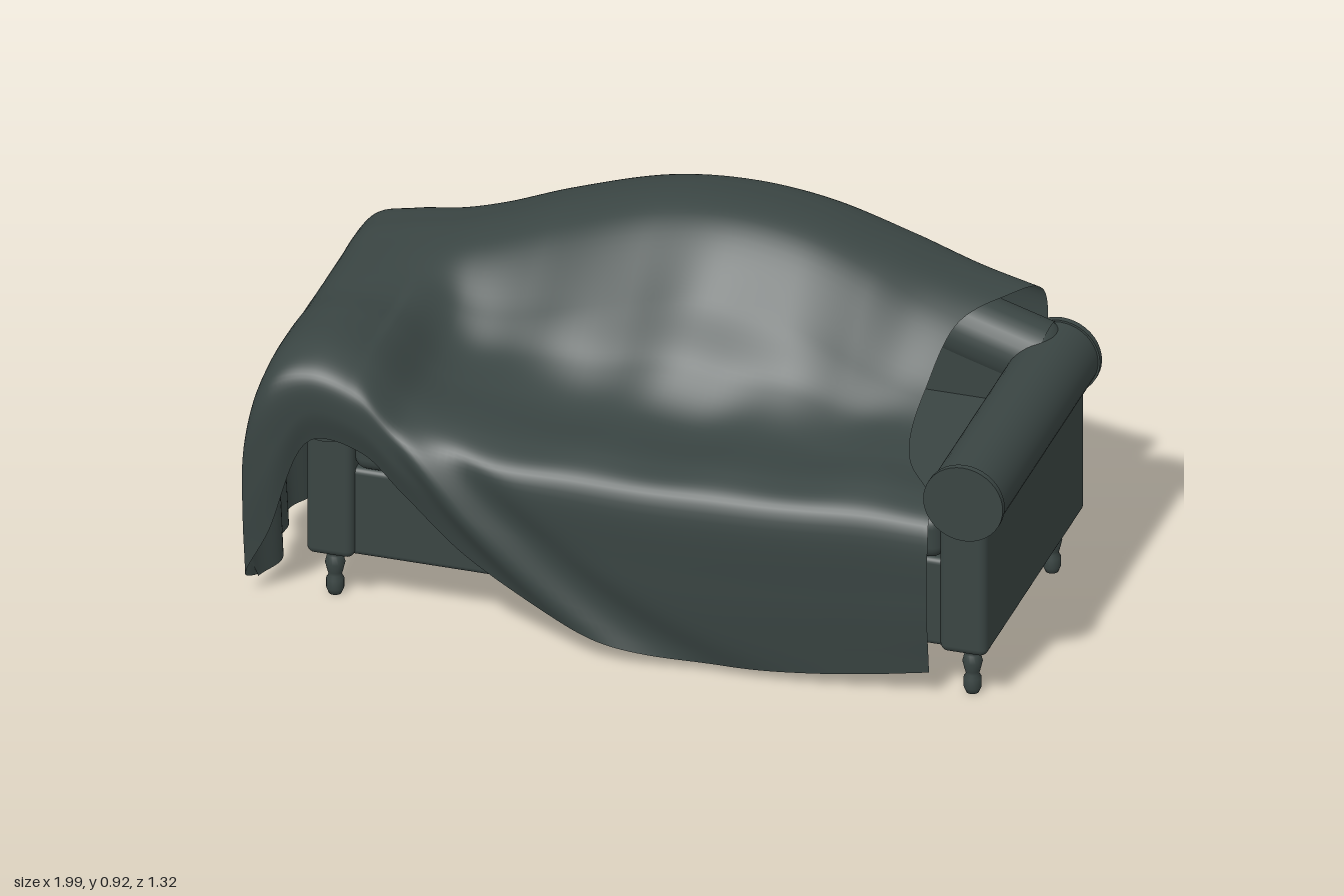
import * as THREE from 'three';
import { RoundedBoxGeometry } from 'three/addons/geometries/RoundedBoxGeometry.js';

const fabric = new THREE.MeshStandardMaterial({ color: 0x3a4543, side: THREE.DoubleSide });
fabric.name = 'dark grey green';
const MID = 0.08; // the sofa sits a little to one side of the cloth

function add(parent, name, geometry, x = 0, y = 0, z = 0) {
  const mesh = new THREE.Mesh(geometry, fabric);
  mesh.name = name;
  mesh.position.set(x, y, z);
  parent.add(mesh);
  return mesh;
}

const mix = THREE.MathUtils.lerp;
const bump = (d, w) => Math.exp(-(d * d) / (w * w));
const box = (w, h, d, r = 0.015) => new RoundedBoxGeometry(w, h, d, 3, r);

// Sofa with rolled arms, humped back and turned legs
function makeSofa() {
  const sofa = new THREE.Group();
  sofa.name = 'sofa';
  sofa.position.x = MID;
  add(sofa, 'seatBase', box(1.56, 0.24, 0.74), 0, 0.255, 0.155);
  add(sofa, 'seatCushion', box(1.5, 0.12, 0.68, 0.035), 0, 0.435, 0.2);

  const legProfile = [[0, 0], [0.016, 0], [0.022, 0.015], [0.022, 0.04], [0.016, 0.05], [0.019, 0.06],
    [0.025, 0.085], [0.02, 0.105], [0.015, 0.11], [0.026, 0.12], [0.026, 0.145]]
    .map(([r, y]) => new THREE.Vector2(r, y));
  const legGeometry = new THREE.LatheGeometry(legProfile, 20);

  for (const side of [-1, 1]) {
    add(sofa, 'armPanel', box(0.12, 0.36, 0.79, 0.02), side * 0.805, 0.312, 0.152);
    add(sofa, 'armRoll', new THREE.CylinderGeometry(0.096, 0.096, 0.77, 40), side * 0.813, 0.562, 0.17).rotation.x = Math.PI / 2;
    for (const z of [-0.215, 0.558])
      add(sofa, 'armRollCap', new THREE.CylinderGeometry(0.101, 0.101, 0.016, 40), side * 0.813, 0.562, z).rotation.x = Math.PI / 2;
    for (const z of [-0.15, 0.48]) add(sofa, 'leg', legGeometry, side * 0.81, 0, z);
  }

  // Back panel follows the same humped line as the roll on its top
  const line = [[-0.78, 0.59], [-0.54, 0.665], [-0.3, 0.76], [0, 0.81], [0.3, 0.76], [0.54, 0.665], [0.78, 0.59]];
  const panel = new THREE.Shape();
  panel.moveTo(0.78, 0.16);
  panel.lineTo(0.78, 0.59);
  panel.splineThru(line.slice(0, -1).reverse().map(([x, y]) => new THREE.Vector2(x, y)));
  panel.lineTo(-0.78, 0.16);
  add(sofa, 'backPanel', new THREE.ExtrudeGeometry(panel, { depth: 0.16, bevelEnabled: false, curveSegments: 8 }), 0, 0, -0.23);
  const path = new THREE.CatmullRomCurve3(line.map(([x, y]) => new THREE.Vector3(x, y, -0.15)));
  add(sofa, 'backRoll', new THREE.TubeGeometry(path, 60, 0.09, 24));
  for (const side of [-1, 1])
    add(sofa, 'backRollEnd', new THREE.SphereGeometry(0.09, 24, 16), side * 0.78, 0.59, -0.15).scale.x = 0.7;
  return sofa;
}

// Cloth stations, from the hem on the covered side across to the open arm
const X = [-0.91, -0.92, -0.93, -0.865, -0.76, -0.63, -0.52, -0.35, -0.1, 0.1, 0.3, 0.5, 0.66, 0.8];
const SEAT = [0.04, 0.25, 0.47, 0.65, 0.69, 0.655, 0.57, 0.53, 0.52, 0.52, 0.52, 0.52, 0.52, 0.51];
const TOP = [0.03, 0.25, 0.48, 0.65, 0.69, 0.715, 0.75, 0.82, 0.9, 0.92, 0.9, 0.84, 0.78, 0.74];
const HEM = [0.04, 0.045, 0.06, 0.2, 0.47, 0.46, 0.37, 0.23, 0.09, 0.035, 0.025, 0.035, 0.05, 0.07];
const FRONT = [0.53, 0.56, 0.585, 0.61, 0.605, 0.61, 0.62, 0.635, 0.63, 0.63, 0.62, 0.6, 0.58, 0.565];
const BACK = [-0.14, -0.17, -0.2, -0.28, -0.36, -0.42, -0.41, -0.38, -0.32, -0.3, -0.31, -0.34, -0.34, -0.28];
const BACKHEM = [0.02, 0.02, 0.02, 0.02, 0.02, 0.02, 0.02, 0.025, 0.03, 0.04, 0.06, 0.08, 0.08, 0.07];
// How far the free edge reaches at each point from front hem to back hem
const EDGE = [1, 1, 1, 0.94, 0.72, 0.63, 0.63, 0.72, 0.93, 1.08, 1.1, 1.04, 0.98];
// Hanging folds behind: position, depth, width
const BACK_FOLDS = [[-0.62, 0.015, 0.06], [-0.32, 0.02, 0.06], [0.07, 0.03, 0.05], [0.3, 0.045, 0.05], [0.43, 0.06, 0.05], [0.63, 0.1, 0.04]];

function clothSection(i) {
  const s = SEAT[i], t = TOP[i], h = HEM[i], f = FRONT[i], b = BACK[i], e = BACKHEM[i];
  const lip = Math.max(h, s - 0.04);
  const full = bump(X[i] - 0.1, 0.35); // the cloth bridges the seat corner near the middle
  const rear = Math.max(-0.255, b + 0.02);
  const section = [
    [f - 0.02, h], [f, mix(h, lip, 0.5)], [f - 0.012, lip], [f - 0.1, s + 0.005], [0.34, s + 0.01],
    [0.22, mix(s, t, mix(0.12, 0.24, full))], [0.12, mix(s, t, mix(0.36, 0.6, full))],
    [-0.03, mix(s, t, mix(0.88, 0.95, full))], [Math.max(-0.15, rear + 0.08), t],
    [rear, mix(e, t, 0.965)], [mix(rear - 0.01, b, 0.3), mix(e, t, 0.72)],
    [mix(rear - 0.01, b, 0.85), mix(e, t, 0.35)], [b, e],
  ];
  return new THREE.CatmullRomCurve3(section.map(([z, y], k) =>
    new THREE.Vector3(X[i] > 0.4 ? 0.4 + (X[i] - 0.4) * EDGE[k] : X[i], y, z)));
}

// Soft folds pushed into the smooth cloth
function addFolds(p, v) {
  const { x, y, z } = p;
  const back = THREE.MathUtils.smoothstep(v, 0.74, 0.92);
  const front = 1 - THREE.MathUtils.smoothstep(v, 0.1, 0.25);
  for (const [center, depth, width] of BACK_FOLDS)
    p.z -= back * depth * bump(x - center + 0.15 * (y - 0.2), width) * mix(1, 0.6, bump(y, 0.1));
  if (x > -0.65) {
    const diagonal = y - (0.16 - 0.85 * (x + 0.15) + 0.5 * (x + 0.15) ** 2);
    p.z += front * (0.02 * bump(diagonal, 0.05) - 0.015 * bump(diagonal - 0.12, 0.06));
    p.y += 0.008 * Math.sin(x * 19 + z * 5) * bump(v - 0.38, 0.14);
  }
  const side = THREE.MathUtils.smoothstep(-x, 0.8, 0.93) * THREE.MathUtils.smoothstep(0.66 - y, 0, 0.3);
  p.x -= side * (0.025 * Math.cos((z - 0.2) * 13) + 0.01 * Math.sin(z * 37 + 1));
  return p;
}

function makeCloth() {
  const NU = 130, NV = 110, positions = [], index = [];
  const sections = X.map((_, i) => clothSection(i));
  for (let j = 0; j <= NV; j++) {
    const v = j / NV;
    const row = new THREE.CatmullRomCurve3(sections.map((c) => c.getPoint(v)));
    for (let i = 0; i <= NU; i++) {
      const p = addFolds(row.getPoint(i / NU), v);
      positions.push(p.x, Math.max(p.y, 0.012), p.z);
      if (i < NU && j < NV) {
        const a = j * (NU + 1) + i, b = a + NU + 1;
        index.push(a, a + 1, b, a + 1, b + 1, b);
      }
    }
  }
  const geometry = new THREE.BufferGeometry();
  geometry.setAttribute('position', new THREE.Float32BufferAttribute(positions, 3));
  geometry.setIndex(index);
  geometry.computeVertexNormals();
  return geometry;
}

export function createModel() {
  const model = new THREE.Group();
  model.name = 'drapedSofa';
  model.add(makeSofa());
  add(model, 'drapedCloth', makeCloth());

  // Corner of the cloth lying on the floor behind
  const corner = new THREE.Shape();
  corner.moveTo(-0.66, 0.38);
  corner.splineThru([[-0.74, 0.54], [-0.83, 0.64], [-0.91, 0.66], [-0.97, 0.56], [-1, 0.38], [-0.985, 0.23], [-0.92, 0.13]]
    .map(([x, y]) => new THREE.Vector2(x, y)));
  add(model, 'clothCornerOnFloor', new THREE.ShapeGeometry(corner, 8), 0, 0.014, 0).rotation.x = -Math.PI / 2;
  return model;
}
